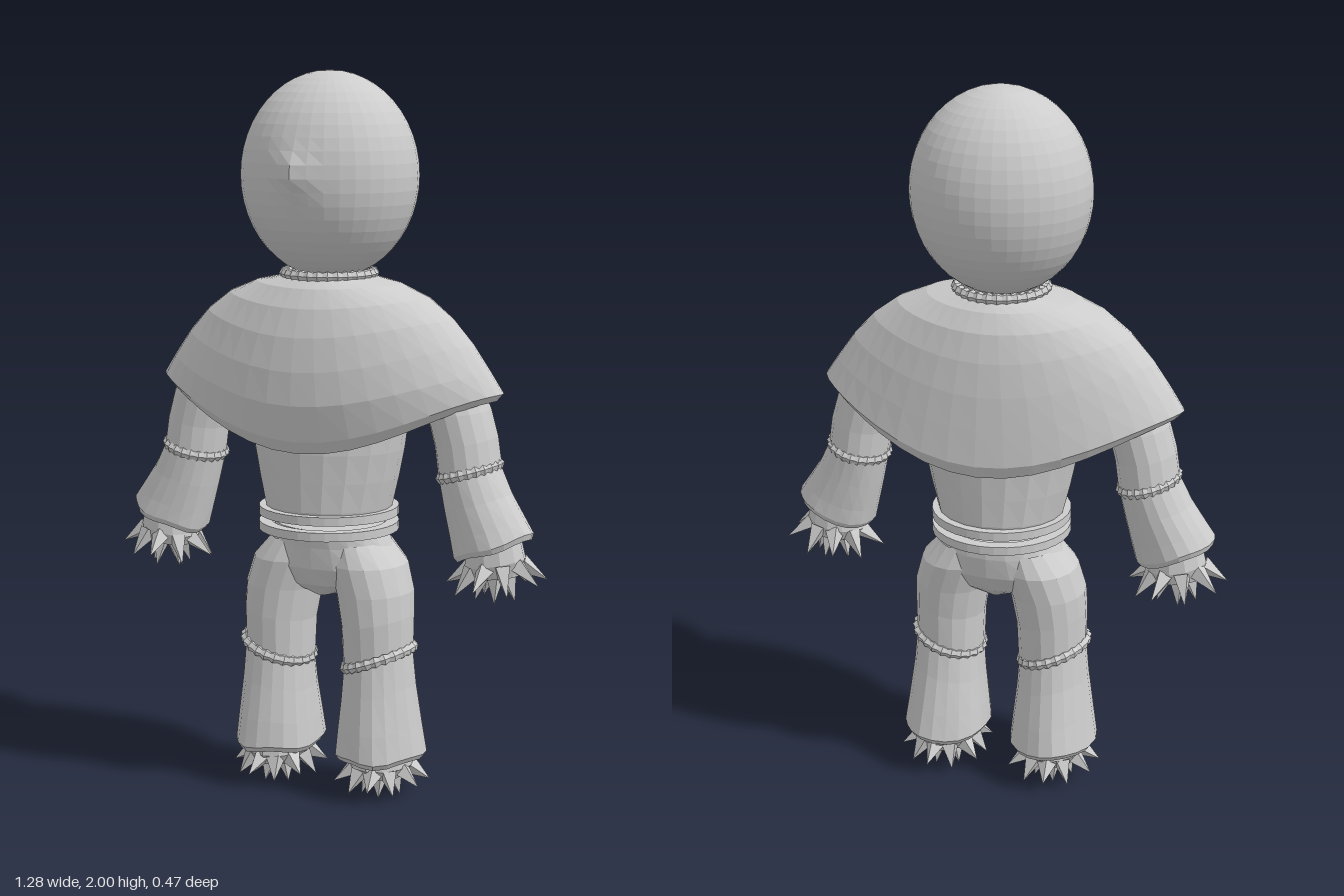
import * as THREE from 'three';

const grey = new THREE.MeshStandardMaterial({ color: 0xcccccc, flatShading: true, side: THREE.DoubleSide });
grey.name = 'stone grey';

function part(name, geometry, parent) {
  const mesh = new THREE.Mesh(geometry, grey);
  mesh.name = name;
  parent.add(mesh);
  return mesh;
}

// Skin over rows of points, listed from top to bottom; point(row, angle) gives [x, y, z]
function skin(rows, n, point) {
  const pos = [], index = [];
  rows.forEach((row) => {
    for (let i = 0; i < n; i++) pos.push(...point(row, (i / n) * Math.PI * 2));
  });
  for (let j = 0; j < rows.length - 1; j++) {
    for (let i = 0; i < n; i++) {
      const a = j * n + i, b = j * n + (i + 1) % n;
      index.push(a, b, a + n, b, b + n, a + n);
    }
  }
  const g = new THREE.BufferGeometry();
  g.setAttribute('position', new THREE.Float32BufferAttribute(pos, 3));
  g.setIndex(index);
  g.computeVertexNormals();
  return g;
}

// Row: centre x, y, z, radius x, radius z, slope in x, fold depth
const limb = (rows, n = 16) => skin(rows, n, ([cx, y, cz, rx, rz, slope = 0, fold = 0], a) => {
  const k = 1 + fold * Math.cos(5 * a);
  const dx = rx * k * Math.cos(a);
  return [cx + dx, y + slope * dx + fold * 0.15 * Math.sin(4 * a), cz + rz * k * Math.sin(a)];
});

// Beaded cord: a torus whose thickness alternates
function cord(name, parent, [x, y, z], rx, rz, tilt, beads) {
  const tube = 0.017, n = beads * 2;
  const g = new THREE.TorusGeometry(1, tube, 6, n);
  const p = g.attributes.position;
  for (let k = 0; k < p.count; k++) {
    const i = k % (n + 1), a = (i / n) * Math.PI * 2;
    const thick = i % 2 ? 1 : 0.72;
    const out = (Math.hypot(p.getX(k), p.getY(k)) - 1) * thick;
    p.setXYZ(k, (rx + out) * Math.cos(a), p.getZ(k) * thick, -(rz + out) * Math.sin(a));
  }
  g.computeVertexNormals();
  const m = part(name, g, parent);
  m.position.set(x, y, z);
  m.rotation.z = tilt;
}

// Pointed claw from a base point along a direction
function claw(parent, base, dir, length, radius) {
  const g = new THREE.ConeGeometry(radius, length, 4);
  g.translate(0, length / 2, 0);
  const m = part('claw', g, parent);
  m.position.set(...base);
  m.quaternion.setFromUnitVectors(new THREE.Vector3(0, 1, 0), new THREE.Vector3(...dir).normalize());
}

// Ring of claws spreading out, with a few more pointing down
function claws(parent, [x, y, z], rx, rz, length, count, slope) {
  for (let i = 0; i < count; i++) {
    const a = (i / count) * Math.PI * 2 + 0.25;
    const c = Math.cos(a), s = Math.sin(a);
    const drop = i % 2 ? -1.3 : -0.65;
    claw(parent, [x + rx * c, y + slope * rx * c, z + rz * s], [c, drop, s], length, 0.027);
  }
  for (let i = 0; i < 5; i++) {
    const a = (i / 5) * Math.PI * 2;
    const c = Math.cos(a) * 0.5, s = Math.sin(a) * 0.5;
    claw(parent, [x + rx * c, y - 0.02, z + rz * s], [c * 0.6, -1, s * 0.6], length * 0.9, 0.025);
  }
}

function makeLeg() {
  const leg = new THREE.Group();
  leg.name = 'leg';
  part('thigh', limb([
    [0.09, 0.72, -0.015, 0.08, 0.11], [0.115, 0.66, -0.012, 0.108, 0.127],
    [0.14, 0.58, -0.005, 0.105, 0.122, 0.05], [0.15, 0.5, 0, 0.098, 0.117, 0.2],
    [0.152, 0.4, 0, 0.095, 0.11, 0.33],
  ]), leg);
  cord('kneeCord', leg, [0.155, 0.395, 0.002], 0.095, 0.108, 0.34, 24);
  part('trouserCuff', limb([
    [0.152, 0.39, 0, 0.094, 0.108, 0.33], [0.154, 0.3, -0.002, 0.101, 0.12, 0.2, 0.01],
    [0.157, 0.2, -0.006, 0.113, 0.138, 0.08, 0.02], [0.16, 0.125, -0.01, 0.122, 0.15, 0.02, 0.03],
    [0.16, 0.11, -0.01, 0.112, 0.14, 0.02, 0.03], [0.16, 0.125, -0.01, 0.08, 0.1],
  ], 20), leg);
  part('foot', limb([
    [0.16, 0.14, -0.01, 0.085, 0.105], [0.16, 0.09, -0.01, 0.088, 0.11],
    [0.16, 0.06, -0.01, 0.07, 0.09], [0.16, 0.05, -0.01, 0.001, 0.001],
  ], 12), leg);
  claws(leg, [0.16, 0.08, -0.01], 0.075, 0.095, 0.068, 11, 0);
  return leg;
}

function makeArm() {
  const arm = new THREE.Group();
  arm.name = 'arm';
  part('upperArm', limb([
    [0.28, 1.27, 0, 0.08, 0.09, -0.3], [0.35, 1.18, 0, 0.09, 0.1],
    [0.388, 1.1, 0, 0.083, 0.102, 0.1], [0.41, 1.02, 0, 0.082, 0.1, 0.2],
    [0.422, 0.935, 0, 0.082, 0.1, 0.27],
  ]), arm);
  cord('elbowCord', arm, [0.42, 0.942, 0], 0.076, 0.093, 0.27, 24);
  part('sleeveCuff', limb([
    [0.422, 0.935, 0, 0.081, 0.098, 0.27], [0.448, 0.86, 0.004, 0.09, 0.098, 0.3, 0.01],
    [0.478, 0.79, 0.008, 0.102, 0.1, 0.33, 0.015], [0.495, 0.75, 0.01, 0.108, 0.103, 0.36, 0.025],
    [0.498, 0.735, 0.01, 0.1, 0.096, 0.36, 0.025], [0.497, 0.75, 0.01, 0.07, 0.07, 0.36],
  ], 20), arm);
  part('hand', limb([
    [0.495, 0.76, 0.01, 0.072, 0.072, 0.3], [0.5, 0.7, 0.01, 0.084, 0.078, 0.2],
    [0.503, 0.665, 0.01, 0.07, 0.065, 0.1], [0.503, 0.66, 0.01, 0.001, 0.001],
  ], 12), arm);
  claws(arm, [0.502, 0.69, 0.01], 0.07, 0.065, 0.085, 9, 0.15);
  return arm;
}

export function createModel() {
  const model = new THREE.Group();
  model.name = 'cloakedFigure';

  // Egg shaped head with a small nose bump
  const head = new THREE.SphereGeometry(1, 36, 24);
  const p = head.attributes.position;
  for (let i = 0; i < p.count; i++) {
    const x = p.getX(i) * 0.247, y = p.getY(i) * 0.28, z = p.getZ(i) * 0.223;
    const bump = z > 0 ? 0.022 * Math.exp(-(x * x + (y - 0.015) ** 2) / 0.0022) : 0;
    p.setXYZ(i, x, y + 1.72, z - 0.004 + bump);
  }
  head.computeVertexNormals();
  part('head', head, model);
  cord('neckCord', model, [0, 1.455, 0], 0.12, 0.12, 0, 30);

  // Cape rows: half width, height at the sides, front depth, back depth, height at front and back
  part('cape', skin([
    [0.12, 1.45, 0.12, 0.12, 1.45], [0.21, 1.432, 0.155, 0.15, 1.425], [0.295, 1.397, 0.187, 0.18, 1.375],
    [0.365, 1.345, 0.213, 0.2, 1.3], [0.425, 1.28, 0.23, 0.215, 1.21], [0.475, 1.21, 0.236, 0.225, 1.12],
    [0.512, 1.155, 0.215, 0.236, 1.02], [0.495, 1.135, 0.195, 0.222, 0.985], [0.4, 1.18, 0.17, 0.18, 1.06],
    [0.2, 1.2, 0.12, 0.12, 1.15],
  ], 40, ([w, side, front, back, mid], a) => {
    const s = Math.abs(Math.sin(a));
    const depth = Math.sin(a) > 0 ? front : -back;
    return [w * Math.cos(a), side + (mid - side) * s ** 3, depth * s ** (1 + Math.min(0.25, (w - 0.12) * 0.8))];
  }), model);

  part('torso', limb([
    [0, 1.25, 0, 0.23, 0.15], [0, 1.08, 0, 0.23, 0.175], [0, 0.98, 0, 0.215, 0.178],
    [0, 0.9, 0, 0.198, 0.175], [0, 0.82, 0, 0.178, 0.172], [0, 0.792, 0, 0.17, 0.165],
    [0, 0.785, 0, 0.001, 0.001],
  ], 20), model);

  // Two separate belt hoops
  for (const y of [0.747, 0.79]) {
    const hoop = [[0.16, 0], [0.194, 0], [0.194, 0.024], [0.16, 0.024], [0.16, 0]];
    part('beltHoop', new THREE.LatheGeometry(hoop.map((q) => new THREE.Vector2(...q)), 32), model).position.y = y;
  }

  part('hips', limb([
    [0, 0.765, -0.01, 0.001, 0.001], [0, 0.762, -0.01, 0.155, 0.135], [0, 0.71, -0.015, 0.18, 0.132],
    [0, 0.65, -0.013, 0.212, 0.125], [0, 0.6, -0.008, 0.15, 0.1], [0, 0.565, -0.005, 0.03, 0.06],
    [0, 0.56, -0.005, 0.001, 0.001],
  ], 20), model);

  // Mirrored limbs
  for (const [name, side] of [['left', 1], ['right', -1]]) {
    const limbs = new THREE.Group();
    limbs.name = name + 'Limbs';
    limbs.add(makeLeg(), makeArm());
    limbs.scale.x = side;
    model.add(limbs);
  }
  return model;
}
